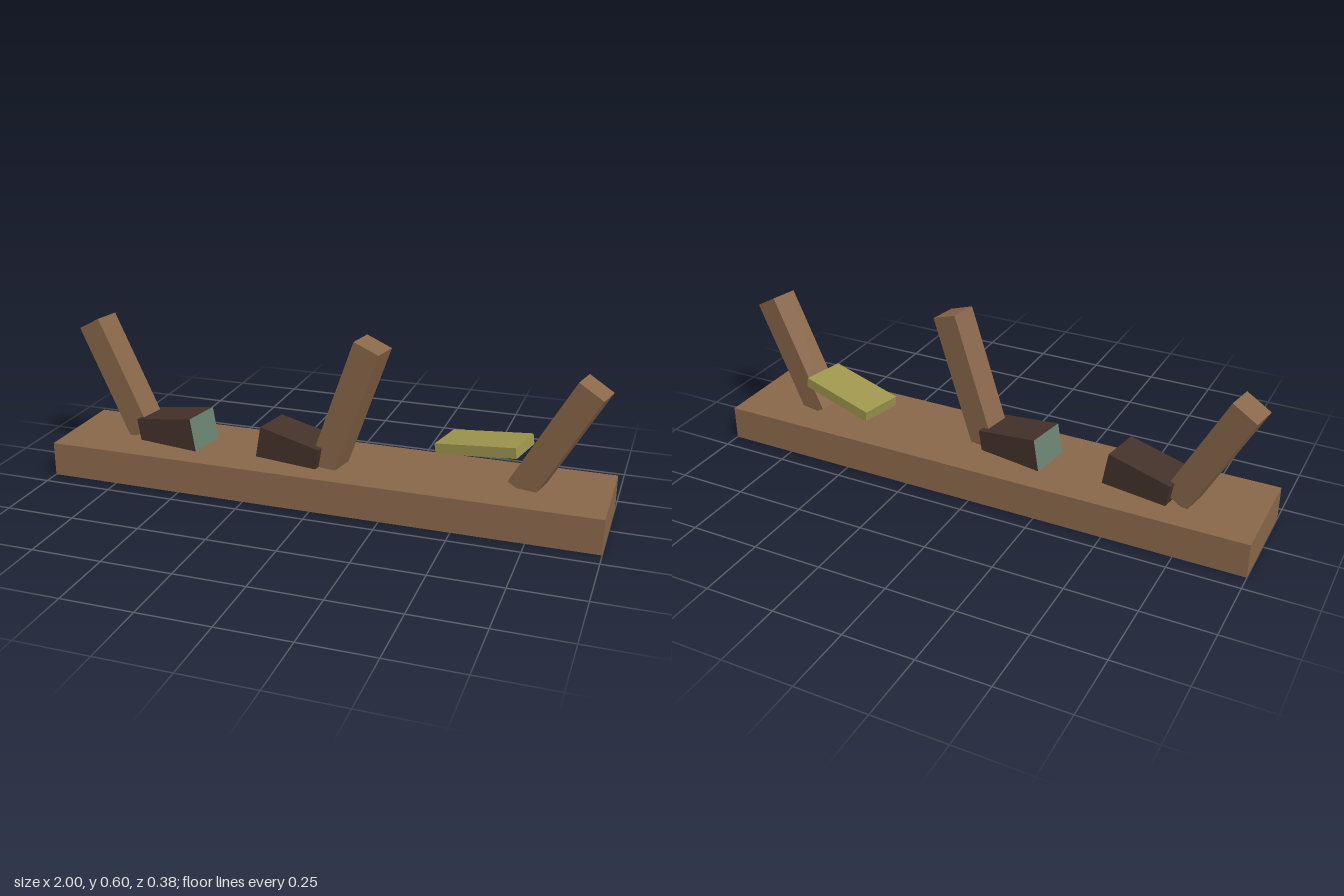
import * as THREE from 'three';

const mat = (name, color, side = THREE.FrontSide) => {
  const m = new THREE.MeshStandardMaterial({ color, side });
  m.name = name;
  return m;
};

export function createModel() {
  const wood = mat('brown wood', 0x89674a, THREE.DoubleSide);
  const bark = mat('dark brown', 0x44322a);
  const moss = mat('grey green', 0x6a8270);
  const olive = mat('olive', 0x9f964e);
  const group = new THREE.Group();

  // Box leaning in its own plane (tilt) and then turned about the vertical (yaw), in degrees
  const addBox = (name, size, material, [x, y, z], tilt, yaw) => {
    const mesh = new THREE.Mesh(new THREE.BoxGeometry(...size), material);
    mesh.name = name;
    mesh.position.set(x, y, z);
    mesh.rotation.set(0, THREE.MathUtils.degToRad(yaw), THREE.MathUtils.degToRad(tilt), 'YZX');
    group.add(mesh);
    return mesh;
  };

  // Base: hollow box, open underneath
  const base = addBox('base', [2, 0.125, 0.375], wood, [0, 0.0625, 0], 0, 0);
  const index = Array.from(base.geometry.index.array);
  index.splice(18, 6); // drop the bottom face
  base.geometry.setIndex(index);
  base.geometry.clearGroups();

  // Leaning posts, placed by the centre of their top face
  const posts = [
    ['rightPost', [-0.925, 0.535, -0.06], 0.45, 28, -10],
    ['middlePost', [0.185, 0.586, 0.062], 0.5, -20, -10],
    ['leftPost', [0.925, 0.51, 0.033], 0.45, -29.5, -12],
  ];
  for (const [name, top, length, tilt, yaw] of posts) {
    const post = addBox(name, [0.1, length, 0.1], wood, top, tilt, yaw);
    post.translateY(-length / 2);
  }

  // Tilted blocks, each with one green end (face order: +x, -x, +y, -y, +z, -z)
  const blockSize = [0.24, 0.15, 0.15];
  addBox('rightBlock', blockSize, [moss, bark, bark, bark, bark, bark], [-0.582, 0.151, -0.003], 10, -9.5);
  addBox('middleBlock', blockSize, [bark, moss, bark, bark, bark, bark], [-0.11, 0.146, 0.01], -10, -10);

  // Slanted plank resting against the left post
  addBox('plank', [0.3, 0.038, 0.157], olive, [0.555, 0.237, -0.051], 8.5, -12);

  return group;
}
